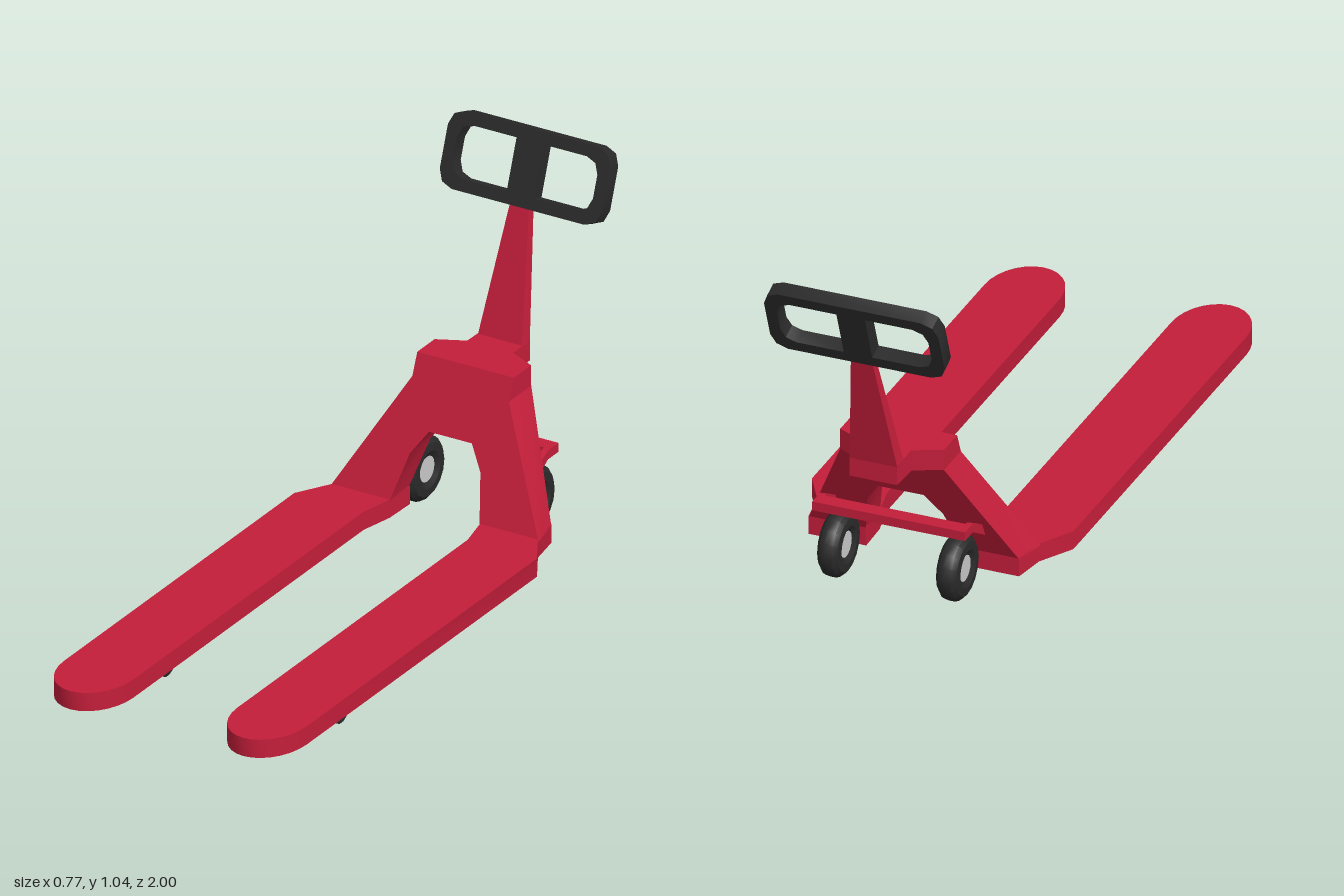
import * as THREE from 'three';
import { toCreasedNormals } from 'three/addons/utils/BufferGeometryUtils.js';

const red = new THREE.MeshStandardMaterial({ color: 0xc41e3a });
const black = new THREE.MeshStandardMaterial({ color: 0x2a2a2a });
const grey = new THREE.MeshStandardMaterial({ color: 0xcccccc });

const shapeOf = (pts) => new THREE.Shape(pts.map(([x, y]) => new THREE.Vector2(x, y)));
const extrude = (shape, depth) => new THREE.ExtrudeGeometry(shape, { depth, bevelEnabled: false, curveSegments: 2 });

// Extrudes a plan given as [x, z] points upwards from y0 to y1
function plan(pts, y0, y1) {
  return extrude(shapeOf(pts.map(([x, z]) => [x, -z])), y1 - y0).rotateX(-Math.PI / 2).translate(0, y0, 0);
}

// Moves every vertex by a rule
function warp(geo, rule) {
  const p = geo.attributes.position;
  const v = new THREE.Vector3();
  for (let i = 0; i < p.count; i++) {
    rule(v.fromBufferAttribute(p, i));
    p.setXYZ(i, v.x, v.y, v.z);
  }
  return geo;
}

// Rectangle whose corners are rounded by r at the left and/or right end
function roundedRect(path, x0, x1, h, rl, rr) {
  const corner = (cx, cy, r, from) => {
    for (let i = 0; i <= (r ? 2 : 0); i++) {
      const a = from + (i * Math.PI) / 4;
      const x = cx + r * Math.cos(a), y = cy + r * Math.sin(a);
      if (path.curves.length || path.started) path.lineTo(x, y);
      else { path.moveTo(x, y); path.started = true; }
    }
  };
  corner(x1 - rr, h - rr, rr, 0);
  corner(x0 + rl, h - rl, rl, Math.PI / 2);
  corner(x0 + rl, -h + rl, rl, Math.PI);
  corner(x1 - rr, -h + rr, rr, Math.PI * 1.5);
  path.closePath();
  return path;
}

export function createModel() {
  const model = new THREE.Group();
  model.name = 'palletTruck';
  const add = (name, geo, mat) => {
    const mesh = new THREE.Mesh(toCreasedNormals(geo, 0.55), mat);
    mesh.name = name;
    model.add(mesh);
    return mesh;
  };

  for (const s of [1, -1]) {
    const side = s > 0 ? 'left' : 'right';

    // Fork with rounded tip and tapered heel
    const pts = [[0.14, -0.55], [0.31, -0.55], [0.327, -0.45], [0.385, -0.35]];
    for (let i = 0; i <= 14; i++) {
      const a = (i / 14) * Math.PI;
      pts.push([0.275 + 0.11 * Math.cos(a), 0.85 + 0.15 * Math.sin(a)]);
    }
    pts.push([0.165, -0.35], [0.143, -0.45]);
    add(side + 'Fork', plan(pts.map(([x, z]) => [x * s, z]), 0.04, 0.095), red);

    // Pair of load rollers under the fork
    for (const x of [0.218, 0.333]) {
      const roller = new THREE.CylinderGeometry(0.042, 0.042, 0.044, 14).rotateZ(Math.PI / 2);
      add(side + 'LoadRoller', roller.translate(s * x, 0.042, 0.62), black);
    }

    // Steering wheel: tyre and hub
    const half = [[0.037, 0.022], [0.055, 0.032], [0.078, 0.03], [0.091, 0.019], [0.095, 0.008]];
    const profile = [...half.map(([r, y]) => [r, -y]), ...half.slice().reverse(), [0.037, -0.022]];
    const tyre = new THREE.LatheGeometry(profile.map(([r, y]) => new THREE.Vector2(r, y)), 16);
    add(side + 'Tyre', tyre.rotateZ(Math.PI / 2).translate(s * 0.175, 0.096, -0.66), black);
    const hub = new THREE.CylinderGeometry(0.038, 0.038, 0.046, 16).rotateZ(Math.PI / 2);
    add(side + 'Hub', hub.translate(s * 0.175, 0.096, -0.66), grey);

    // Bent arm joining the steering bar to the frame
    const arm = shapeOf([[0.69, 0.245], [0.67, 0.245], [0.57, 0.19], [0.57, 0.158], [0.67, 0.218], [0.69, 0.218]]);
    const armGeo = extrude(arm, 0.018).rotateY(Math.PI / 2);
    add(side + 'SteeringArm', armGeo.translate(s * 0.216 - 0.009, 0, 0), red);
  }

  // Steering bar behind the frame
  add('steeringBar', new THREE.BoxGeometry(0.45, 0.027, 0.045).translate(0, 0.2315, -0.7025), red);

  // Leaning arched frame, sheared backwards
  const edge = [[0.068, 0.285], [0.112, 0.22], [0.143, 0.09], [0.33, 0.09], [0.153, 0.41]];
  const arch = [...edge, ...edge.slice().reverse().map(([x, y]) => [-x, y])];
  add('frame', warp(extrude(shapeOf(arch), 1), (v) => {
    const up = v.y - 0.095;
    if (v.z > 0.5) v.z = -0.45 - up * 0.427;
    else {
      v.z = -0.55 - up * 0.48;
      if (Math.abs(v.x) > 0.3) v.x *= 0.94;
    }
  }), red);

  // Top plate with a narrow tail and a leaning front edge
  const plate = [[0.153, -0.584], [0.153, -0.7], [0.073, -0.738], [0.07, -0.83]];
  const outline = [...plate, ...plate.slice().reverse().map(([x, z]) => [-x, z])];
  add('topPlate', warp(plan(outline, 0.41, 0.472), (v) => {
    if (v.z > -0.6 && v.y > 0.45) v.z -= 0.026;
  }), red);

  // Tapered handle shaft
  add('handleShaft', warp(new THREE.BoxGeometry(2, 1, 1), (v) => {
    const t = v.y + 0.5;
    const front = -0.787 - 0.107 * t, back = -0.83 - 0.088 * t;
    v.set(v.x * (0.07 - 0.041 * t), 0.465 + 0.38 * t, v.z > 0 ? front : back);
  }), red);

  // Tilted hand grip with two openings
  const grip = roundedRect(new THREE.Shape(), -0.257, 0.257, 0.109, 0.047, 0.047);
  grip.holes.push(
    roundedRect(new THREE.Path(), 0.042, 0.223, 0.075, 0, 0.042),
    roundedRect(new THREE.Path(), -0.223, -0.042, 0.075, 0.042, 0),
  );
  const gripGeo = extrude(grip, 0.046).translate(0, 0, -0.023).rotateX(-0.35);
  add('handGrip', gripGeo.translate(0, 0.929, -0.941), black);

  return model;
}
